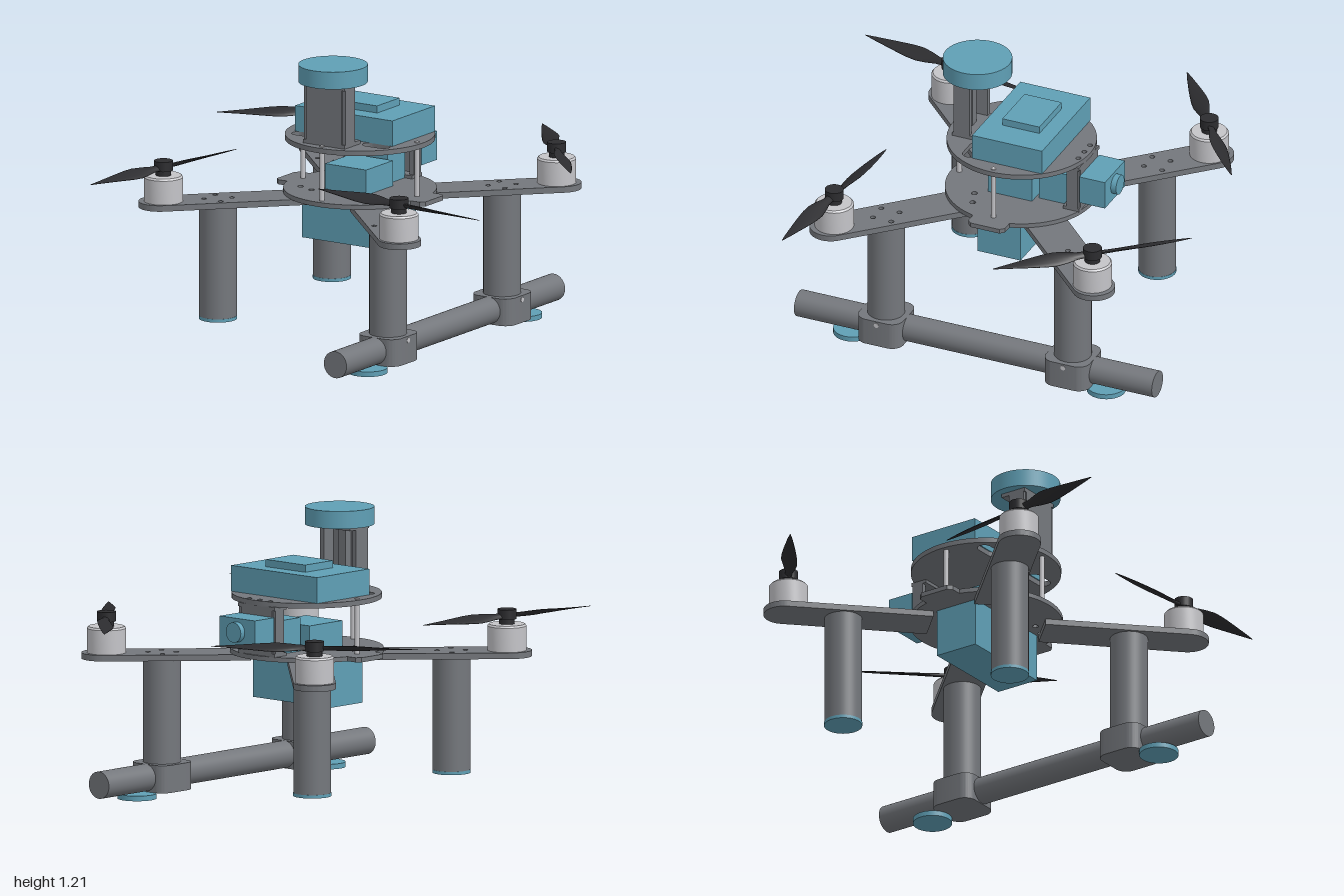
import * as THREE from 'three';
import { toCreasedNormals } from 'three/addons/utils/BufferGeometryUtils.js';

const material = (name, color) => {
  const m = new THREE.MeshStandardMaterial({ color });
  m.name = name;
  return m;
};

export function createModel() {
  const model = new THREE.Group();
  model.name = 'quadcopter';
  const grey = material('frameGrey', 0x74777c);
  const blue = material('equipmentBlue', 0x5f9fb5);
  const silver = material('motorSilver', 0xc4c4c8);
  const black = material('propellerBlack', 0x2c2c2f);
  const CX = -0.045, CZ = -0.055; // centre of the airframe

  const add = (name, geo, mat, x = 0, y = 0, z = 0, ry = 0) => {
    const m = new THREE.Mesh(geo, mat);
    m.name = name;
    m.position.set(x, y, z);
    m.rotation.y = ry;
    model.add(m);
    return m;
  };
  const box = (name, mat, x0, x1, y0, y1, z0, z1) =>
    add(name, new THREE.BoxGeometry(x1 - x0, y1 - y0, z1 - z0), mat, (x0 + x1) / 2, (y0 + y1) / 2, (z0 + z1) / 2);
  const cyl = (name, mat, r, x, y0, y1, z, seg = 40) =>
    add(name, new THREE.CylinderGeometry(r, r, y1 - y0, seg), mat, x, (y0 + y1) / 2, z);
  // Horizontal sheet: shape y becomes -z, thickness goes up
  const sheet = (shape, depth) => {
    const g = new THREE.ExtrudeGeometry(shape, { depth, bevelEnabled: false, curveSegments: 32 });
    return toCreasedNormals(g.rotateX(-Math.PI / 2), 0.5);
  };
  const hole = (shape, x, y, r) => shape.holes.push(new THREE.Path().absarc(x, y, r, 0, Math.PI * 2, true));

  // Lower plate with a square tab on each side
  const lower = new THREE.Shape();
  const R = 0.325, tab = 0.085, a = Math.asin(tab / R);
  lower.absarc(0, 0, R, a, Math.PI - a, false);
  lower.lineTo(-0.36, tab);
  lower.lineTo(-0.378, tab - 0.018);
  lower.lineTo(-0.378, -tab + 0.018);
  lower.lineTo(-0.36, -tab);
  lower.absarc(0, 0, R, Math.PI + a, Math.PI * 2 - a, false);
  lower.lineTo(0.36, -tab);
  lower.lineTo(0.378, -tab + 0.018);
  lower.lineTo(0.378, tab - 0.018);
  lower.lineTo(0.36, tab);
  for (const s of [-1, 1]) for (const [x, y] of [[0.215, -0.13], [0.143, -0.155]]) hole(lower, s * x, y, 0.013);
  add('lowerPlate', sheet(lower, 0.02), grey, CX, 0.608, CZ);

  // Upper plate with slots and bolt holes
  const upper = new THREE.Shape().absarc(0, 0, 0.318, 0, Math.PI * 2, false);
  for (const s of [-1, 1]) {
    const slot = new THREE.Path();
    slot.absarc(s * 0.18 + 0.035, -0.145, 0.03, -Math.PI / 2, Math.PI / 2, false);
    slot.absarc(s * 0.18 - 0.035, -0.145, 0.03, Math.PI / 2, Math.PI * 1.5, false);
    upper.holes.push(slot);
  }
  for (const x of [-0.06, 0, 0.06]) hole(upper, x, 0.29, 0.011);
  add('upperPlate', sheet(upper, 0.022), grey, CX, 0.84, CZ);

  // Standoffs between the plates
  for (const [x, z] of [[0.29, 0], [-0.29, 0], [0, 0.29]])
    cyl('standoff', silver, 0.011, CX + x, 0.62, 0.866, CZ + z, 16);

  // Arm outline with rounded tip and leg bolt holes
  const arm = new THREE.Shape();
  arm.moveTo(0.24, -0.09);
  arm.lineTo(0.863, -0.09);
  arm.absarc(0.863, 0, 0.09, -Math.PI / 2, Math.PI / 2, false);
  arm.lineTo(0.24, 0.09);
  for (const [x, y] of [[0.06, 0], [-0.06, 0], [0, 0.06], [0, -0.06]]) hole(arm, 0.612 + x, y, 0.011);
  const armGeo = sheet(arm, 0.026);

  // Motor profile
  const motorGeo = toCreasedNormals(new THREE.LatheGeometry(
    [[0, 0], [0.083, 0], [0.083, 0.105], [0.076, 0.113], [0, 0.113]].map(p => new THREE.Vector2(...p)), 40), 0.4);

  // Twisted blade: a unit cylinder laid along x and shaped by chord and pitch
  const chord = [0.016, 0.018, 0.029, 0.037, 0.036, 0.031, 0.025, 0.018, 0.011, 0.002];
  const bladeGeo = new THREE.CylinderGeometry(1, 1, 1, 12, 18);
  const p = bladeGeo.attributes.position;
  for (let i = 0; i < p.count; i++) {
    const t = p.getY(i) + 0.5, f = t * (chord.length - 1), k = Math.min(Math.floor(f), chord.length - 2);
    const w = THREE.MathUtils.lerp(chord[k], chord[k + 1], f - k);
    const c = w * p.getZ(i), h = -(0.008 * (1 - t) + 0.001) * p.getX(i);
    const pitch = 0.55 - 0.4 * t;
    p.setXYZ(i, 0.02 + 0.42 * t, h * Math.cos(pitch) + c * Math.sin(pitch), c * Math.cos(pitch) - h * Math.sin(pitch));
  }
  bladeGeo.computeVertexNormals();

  // Pipe clamp seen from above: rounded square
  const clamp = new THREE.Shape();
  [[1, 1], [-1, 1], [-1, -1], [1, -1]].forEach(([x, y], i) =>
    clamp.absarc(x * 0.05, y * 0.05, 0.052, i * Math.PI / 2, (i + 1) * Math.PI / 2, false));
  const clampGeo = sheet(clamp, 0.118);

  // Corners: arm, motor, propeller, leg and foot
  const corners = [[-1, -1, 66, -49], [1, -1, 55, 62], [-1, 1, 15, -81], [1, 1, 82, 8]];
  for (const [sx, sz, dx, dz] of corners) {
    const mx = CX + sx * 0.599, mz = CZ + sz * 0.599;
    add('arm', armGeo, grey, CX, 0.583, CZ, Math.atan2(-sz, sx));
    add('motor', motorGeo, silver, mx, 0.608, mz);
    cyl('propellerHub', black, 0.033, mx, 0.72, 0.75, mz, 24);
    cyl('propellerCap', black, 0.04, mx, 0.742, 0.784, mz, 24);
    for (const turn of [0, Math.PI])
      add('propellerBlade', bladeGeo, black, mx, 0.755, mz, Math.atan2(-dz, dx) + turn);

    const lx = CX + sx * 0.433, lz = CZ + sz * 0.433;
    if (sx > 0) {
      cyl('leg', grey, 0.08, lx, 0.13, 0.584, lz);
      add('pipeClamp', clampGeo, grey, lx, 0.022, lz);
      cyl('foot', blue, 0.083, lx, 0, 0.022, CZ + sz * 0.588);
      const bolt = cyl('clampBolt', silver, 0.011, lx + 0.1, 0.118, 0.126, lz, 12);
      bolt.rotation.z = Math.PI / 2;
    } else {
      cyl('leg', grey, 0.08, lx, 0.1, 0.584, lz);
      cyl('foot', blue, 0.081, lx, 0.086, 0.1, lz);
    }
  }

  // Skid pipe along the left side
  const pipe = cyl('skidPipe', grey, 0.058, 0.388, -0.83, 0.83, -0.05);
  pipe.position.y = 0.083;
  pipe.rotation.x = Math.PI / 2;

  // Channel brackets: web, side flanges, and feet at both ends
  const bracket = (name, y0, y1, face, depth, foot) => {
    const s = Math.sign(depth), f = (d0, d1) => [Math.min(face - d0 * s, face - d1 * s), Math.max(face - d0 * s, face - d1 * s)];
    const d = Math.abs(depth), hw = 0.105;
    box(name + 'Web', grey, CX - 0.09, CX + 0.09, y0, y1, ...f(0, 0.02));
    for (const x of [-1, 1]) {
      const xi = CX + x * 0.082, xo = CX + x * hw;
      box(name + 'Flange', grey, Math.min(xi, xo), Math.max(xi, xo), y0, y1, ...f(0.006, d));
    }
    box(name + 'Rib', grey, CX - 0.02, CX + 0.02, y0, y1, ...f(0.01, d * 0.7));
    for (const y of [y0, y1 - 0.016]) box(name + 'Foot', grey, CX - hw, CX + hw, y, y + 0.016, ...f(0, foot));
  };
  bracket('mast', 0.862, 1.13, 0.22, 0.08, 0.12);
  bracket('cameraMount', 0.626, 0.842, -0.368, -0.058, 0.075);

  // Positioning puck on the mast
  cyl('antennaPuck', blue, 0.147, CX, 1.13, 1.205, 0.15, 64);

  // Equipment boxes
  box('battery', blue, -0.27, 0.177, 0.4, 0.608, -0.15, 0.05);
  box('flightController', blue, -0.15, 0.06, 0.626, 0.738, -0.15, 0.055);
  box('receiver', blue, -0.11, 0.022, 0.626, 0.772, -0.295, -0.165);
  box('computer', blue, -0.295, 0.2, 0.862, 0.973, -0.26, 0.065);
  box('computerLid', blue, -0.16, 0.068, 0.973, 1.004, -0.188, -0.016);

  // Rear camera with lens
  box('camera', blue, -0.147, 0.057, 0.672, 0.798, -0.487, -0.368);
  const lens = cyl('cameraLens', blue, 0.043, CX, -0.0125, 0.0125, -0.499, 32);
  lens.position.y = 0.74;
  lens.rotation.x = Math.PI / 2;

  return model;
}
